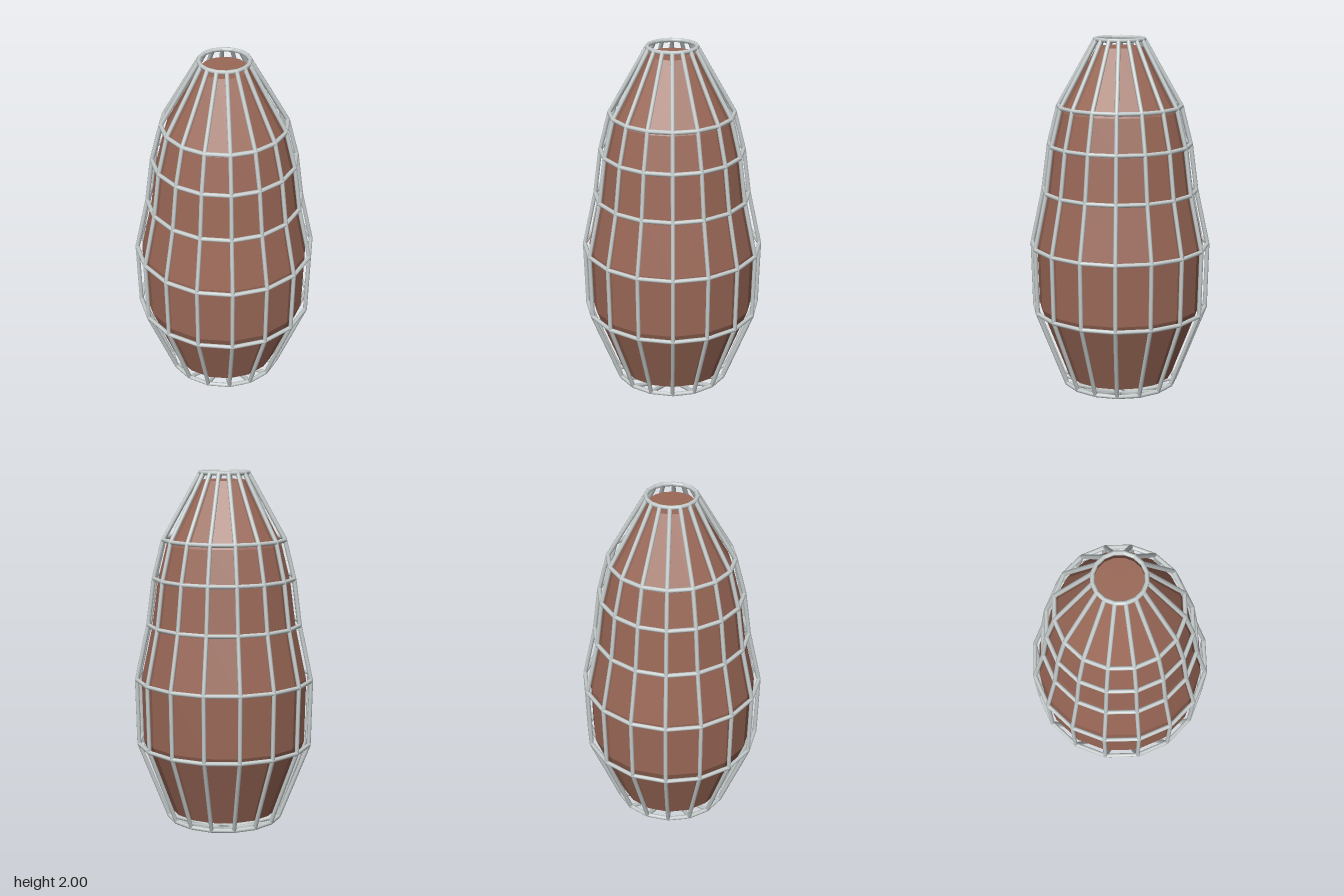
import * as THREE from 'three';

const SIDES = 16;
const WIRE = 0.0115;
// [radius, height] of each hoop, bottom to top
const PROFILE = [
  [0.04, 0.012], [0.31, 0.1], [0.472, 0.52], [0.48, 0.88],
  [0.415, 1.18], [0.382, 1.43], [0.33, 1.635], [0.13, 1.988],
];

export function createModel() {
  const group = new THREE.Group();
  const brown = new THREE.MeshStandardMaterial({ color: 0x9a6857 });
  const steel = new THREE.MeshStandardMaterial({ color: 0xc6cccc });
  brown.name = 'brown core';
  steel.name = 'steel wire';

  // Faceted solid core, slightly smaller than the cage and closed at both ends
  const inner = PROFILE.map(([r, y]) => new THREE.Vector2(r * 0.945, 1 + (y - 1) * 0.96));
  const outline = [
    new THREE.Vector2(0, inner[0].y), ...inner,
    new THREE.Vector2(0, inner[inner.length - 1].y),
  ];
  const coreGeometry = new THREE.LatheGeometry(outline, SIDES).toNonIndexed();
  coreGeometry.computeVertexNormals();
  const core = new THREE.Mesh(coreGeometry, brown);
  core.name = 'core';
  group.add(core);

  // Cage of straight wires between neighbouring joints
  const joint = (row, k) => {
    const [r, y] = PROFILE[row];
    const a = (k / SIDES) * Math.PI * 2;
    return new THREE.Vector3(Math.sin(a) * r, y, Math.cos(a) * r);
  };
  const up = new THREE.Vector3(0, 1, 0);
  const wire = (a, b, name, parent) => {
    const along = b.clone().sub(a);
    const mesh = new THREE.Mesh(
      new THREE.CylinderGeometry(WIRE, WIRE, along.length() + 0.004, 8), steel);
    mesh.position.copy(a).add(b).multiplyScalar(0.5);
    mesh.quaternion.setFromUnitVectors(up, along.normalize());
    mesh.name = name;
    parent.add(mesh);
  };
  const hoops = new THREE.Group();
  const ribs = new THREE.Group();
  hoops.name = 'hoops';
  ribs.name = 'ribs';
  for (let row = 0; row < PROFILE.length; row++) {
    for (let k = 0; k < SIDES; k++) {
      wire(joint(row, k), joint(row, k + 1), 'hoopWire', hoops);
      if (row < PROFILE.length - 1) wire(joint(row, k), joint(row + 1, k), 'ribWire', ribs);
    }
  }
  group.add(hoops, ribs);
  return group;
}
